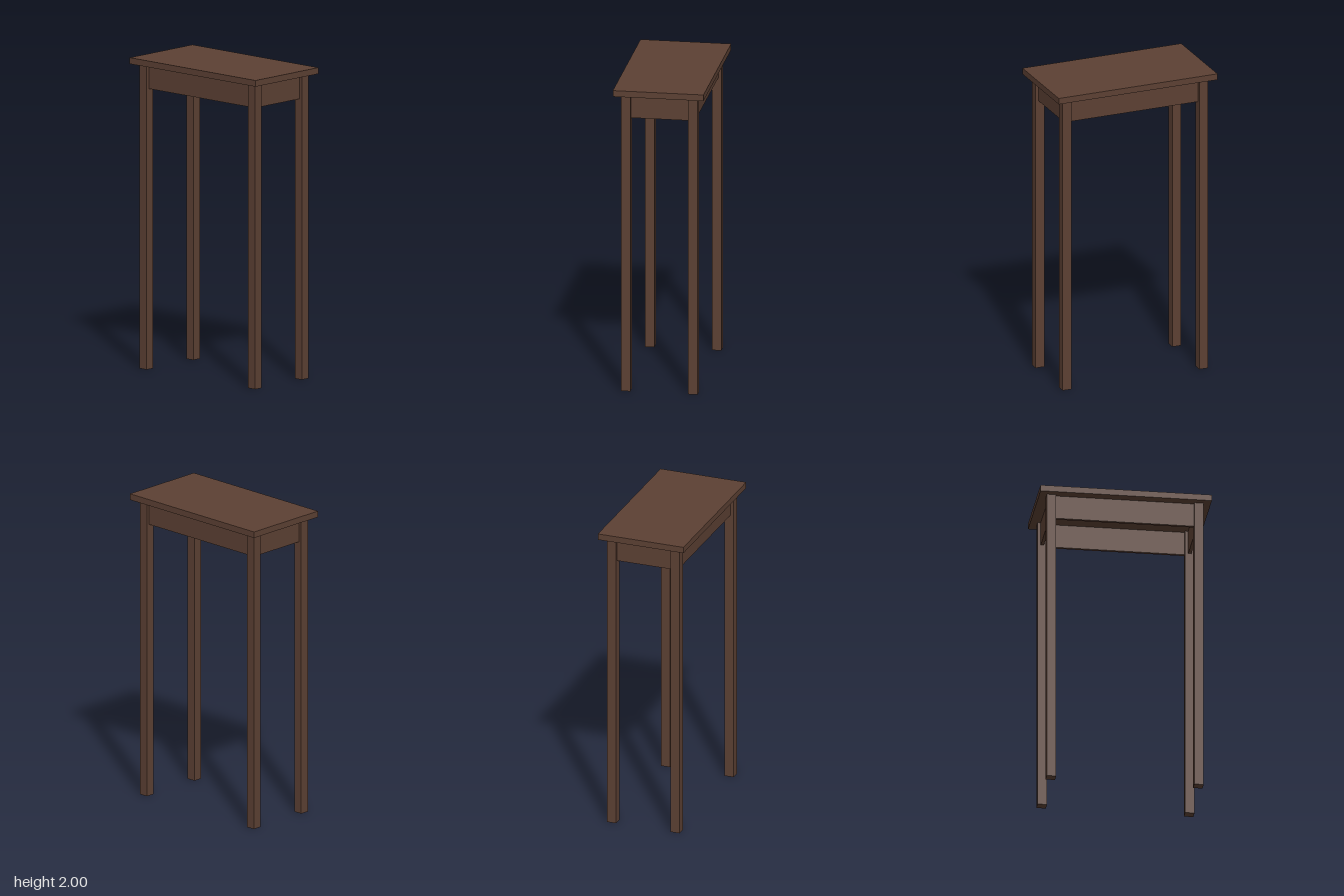
import * as THREE from 'three';

export function createModel() {
  const table = new THREE.Group();
  table.name = 'sideTable';
  const darkWood = new THREE.MeshStandardMaterial({ color: 0x5c4033 });
  darkWood.name = 'darkWood';

  // Adds a box given its size and centre
  function addBox(name, [w, h, d], [x, y, z]) {
    const mesh = new THREE.Mesh(new THREE.BoxGeometry(w, h, d), darkWood);
    mesh.name = name;
    mesh.position.set(x, y, z);
    table.add(mesh);
  }

  const topH = 0.04, legW = 0.06, underside = 2 - topH;
  const legX = 0.47, legZ = 0.215;
  const apronH = 0.155, apronT = 0.02, apronY = underside - apronH / 2;

  addBox('tableTop', [1.092, topH, 0.58], [0, 2 - topH / 2, 0]);

  // Four square legs
  for (const [sideX, x] of [['Left', legX], ['Right', -legX]]) {
    for (const [sideZ, z] of [['front', legZ], ['back', -legZ]]) {
      addBox(`${sideZ}${sideX}Leg`, [legW, underside, legW], [x, underside / 2, z]);
    }
  }

  // Thin apron boards between the legs, set back from their outer faces
  for (const [name, s] of [['front', 1], ['back', -1]]) {
    addBox(`${name}Apron`, [2 * legX - legW, apronH, apronT], [0, apronY, s * legZ]);
  }
  for (const [name, s] of [['left', 1], ['right', -1]]) {
    addBox(`${name}Apron`, [apronT, apronH, 2 * legZ - legW], [s * legX, apronY, 0]);
  }

  return table;
}
